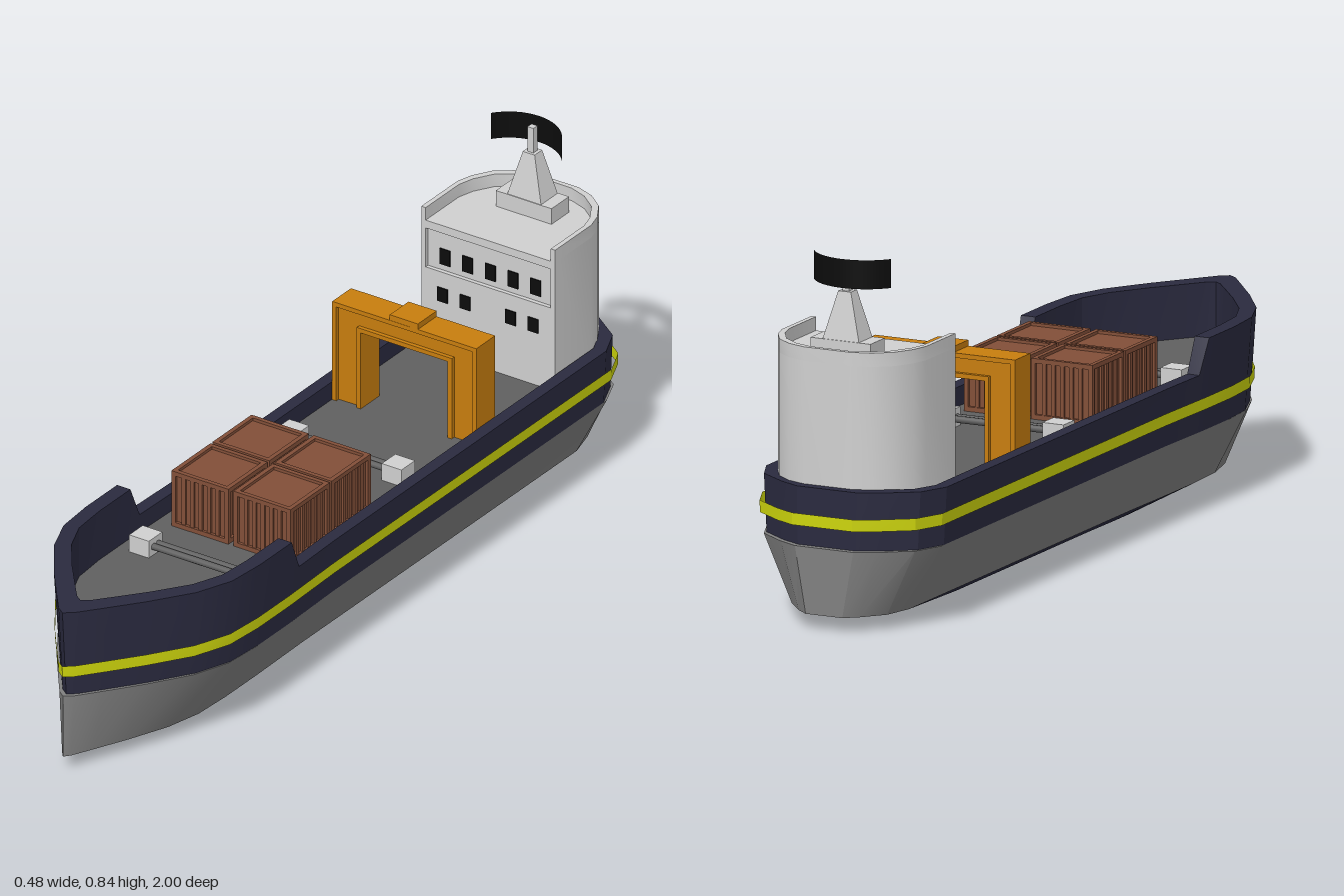
import * as THREE from 'three';
import { toCreasedNormals } from 'three/addons/utils/BufferGeometryUtils.js';

const mat = (name, color, opts = {}) => Object.assign(new THREE.MeshStandardMaterial({ color, ...opts }), { name });

export function createModel() {
  const navy = mat('navy paint', 0x2a2a3f);
  const hullGrey = mat('hull grey', 0x808080);
  const deckGrey = mat('deck grey', 0x606060);
  const yellow = mat('yellow stripe', 0xccd40c, { side: THREE.DoubleSide });
  const orange = mat('crane orange', 0xc77d0e);
  const brown = mat('container brown', 0x824f38);
  const white = mat('off white', 0xd0d0d0);
  const black = mat('black', 0x0c0c0c, { side: THREE.DoubleSide });

  const ship = new THREE.Group();
  ship.name = 'cargoShip';
  const add = (parent, name, geo, material, x = 0, y = 0, z = 0) => {
    const m = new THREE.Mesh(geo, material);
    m.name = name;
    m.position.set(x, y, z);
    parent.add(m);
    return m;
  };
  const group = (name) => {
    const g = new THREE.Group();
    g.name = name;
    ship.add(g);
    return g;
  };
  // box from its extents
  const box = (parent, name, material, x0, x1, y0, y1, z0, z1) =>
    add(parent, name, new THREE.BoxGeometry(x1 - x0, y1 - y0, z1 - z0), material,
      (x0 + x1) / 2, (y0 + y1) / 2, (z0 + z1) / 2);

  // skin closed rings of points; optional fan caps on first and last ring
  const loft = (rings, capStart, capEnd, crease = 0.3) => {
    const n = rings[0].length, pos = [], idx = [];
    rings.forEach((r) => r.forEach((p) => pos.push(...p)));
    for (let k = 0; k < rings.length - 1; k++) {
      for (let i = 0; i < n; i++) {
        const j = (i + 1) % n, a = k * n, b = a + n;
        idx.push(a + i, a + j, b + j, a + i, b + j, b + i);
      }
    }
    const cap = (k, flip) => {
      const c = pos.length / 3;
      pos.push(0, rings[k][0][1], 0);
      for (let i = 0; i < n; i++) {
        const a = k * n + i, b = k * n + ((i + 1) % n);
        idx.push(c, flip ? b : a, flip ? a : b);
      }
    };
    if (capStart) cap(0, true);
    if (capEnd) cap(rings.length - 1, false);
    const g = new THREE.BufferGeometry();
    g.setAttribute('position', new THREE.Float32BufferAttribute(pos, 3));
    g.setIndex(idx);
    return toCreasedNormals(g, crease);
  };

  // half plan of the hull as [z, x], bow to stern, mirrored into a loop
  const half = [[1, 0], [0.985, 0.02], [0.93, 0.062], [0.85, 0.122], [0.75, 0.188], [0.66, 0.222],
    [0.56, 0.23], [0.435, 0.23], [0.4, 0.229], [0.25, 0.225], [-0.83, 0.225], [-0.9, 0.195],
    [-0.95, 0.125], [-0.975, 0.075], [-0.975, 0]];
  const plan = [...half, ...half.slice(1, -1).reverse().map(([z, x]) => [z, -x])];
  const ring = (f) => plan.map(([z, x]) => f(z, x));
  const DECK = 0.28;
  const shell = (z, x, y) => [x * (1 + (y - 0.25) * 0.25), y, z > 0 ? z * (1 + (y - 0.405) * 0.07) : z];
  const topY = (z) => (z > 0.42 ? 0.405 : 0.325);
  const inset = (z, x, y) => [x * 0.88, y,
    z > 0.6 ? 0.6 + (z - 0.6) * 0.82 : z < -0.8 ? -0.8 + (z + 0.8) * 0.82 : z];
  const scaled = (kx, y, kz, ks = kz) => ring((z, x) => [x * kx, y, z * (z > 0 ? kz : ks)]);

  // hull: keel, grey lower sides, navy sides with bulwark, deck, stripe
  const hull = group('hull');
  const chine = scaled(0.62, 0.035, 0.998, 1.015);
  const waterline = scaled(0.985, 0.19, 0.998, 1.015);
  add(hull, 'keelBottom', loft([scaled(0.37, 0, 0.6), chine], true, false), navy);
  const sideFoot = ring((z, x) => shell(z, x, 0.19));
  add(hull, 'lowerHull', loft([chine, waterline, sideFoot]), hullGrey);
  add(hull, 'upperHull', loft([
    sideFoot,
    ring((z, x) => shell(z, x, 0.27)),
    ring((z, x) => shell(z, x, topY(z))),
    ring((z, x) => inset(z, x, topY(z))),
    ring((z, x) => inset(z, x, DECK)),
  ]), navy);
  add(hull, 'deck', loft([ring((z, x) => inset(z, x, DECK - 0.01)), ring((z, x) => inset(z, x, DECK))], false, true), deckGrey);
  add(hull, 'stripe', loft([scaled(1.012, 0.24, 1, 1.025), scaled(1.016, 0.268, 1.001, 1.025)]), yellow);

  // upright prism from an [x, z] outline
  const prism = (pts, y0, y1) => {
    const g = new THREE.ExtrudeGeometry(new THREE.Shape(pts.map(([x, z]) => new THREE.Vector2(x, -z))),
      { depth: y1 - y0, bevelEnabled: false });
    g.rotateX(-Math.PI / 2).translate(0, y0, 0);
    return toCreasedNormals(g, 0.7);
  };

  // bridge house with rounded back and a parapet open at the front
  const house = group('bridgeHouse');
  house.position.x = 0.012;
  const back = (d) => {
    const h = [[0.183, -0.82], [0.172, -0.86], [0.145, -0.905], [0.105, -0.935], [0.06, -0.95]]
      .map(([x, z]) => [x - d, z + d]);
    return [...h, ...h.slice().reverse().map(([x, z]) => [-x, z])];
  };
  add(house, 'houseBody', prism([[0.183, -0.686], ...back(0), [-0.183, -0.686]], DECK, 0.61), white);
  add(house, 'parapet', prism([[0.183, -0.676], ...back(0), [-0.183, -0.676],
    [-0.171, -0.676], ...back(0.012).reverse(), [0.171, -0.676]], 0.61, 0.642), white);
  // front wall with the sunken window panel
  const rect = (P, x0, x1, y0, y1) => new P()
    .moveTo(x0, y0).lineTo(x1, y0).lineTo(x1, y1).lineTo(x0, y1).closePath();
  const front = rect(THREE.Shape, -0.183, 0.183, DECK, 0.61);
  front.holes.push(rect(THREE.Path, -0.171, 0.171, 0.49, 0.59));
  add(house, 'frontWall', new THREE.ExtrudeGeometry(front, { depth: 0.01, bevelEnabled: false }), white, 0, 0, -0.686);
  for (let i = -2; i <= 2; i++) {
    const x = i * 0.062;
    box(house, 'upperWindow', black, x - 0.014, x + 0.014, 0.505, 0.545, -0.687, -0.683);
    if (i) box(house, 'lowerWindow', black, x - 0.014, x + 0.014, 0.415, 0.45, -0.677, -0.673);
  }

  // mast and curved radar screen
  const mast = group('mast');
  mast.position.set(0.01, 0, -0.855);
  box(mast, 'mastFoot', white, -0.076, 0.076, 0.61, 0.65, -0.035, 0.035);
  const taper = new THREE.BoxGeometry(0.092, 0.11, 0.066);
  const tp = taper.attributes.position;
  for (let i = 0; i < tp.count; i++) {
    if (tp.getY(i) > 0) tp.setXYZ(i, tp.getX(i) * 0.35, tp.getY(i), tp.getZ(i) * 0.45);
  }
  taper.computeVertexNormals();
  add(mast, 'mastTower', taper, white, 0, 0.705, 0);
  box(mast, 'mastPole', white, -0.008, 0.008, 0.76, 0.823, -0.008, 0.008);
  const arc = Math.asin(0.0975 / 0.12);
  add(mast, 'radarScreen', new THREE.CylinderGeometry(0.12, 0.12, 0.067, 16, 1, true, Math.PI - arc, 2 * arc),
    black, 0, 0.804, 0.094);

  // gantry crane: recessed arch between raised rims
  const crane = group('gantryCrane');
  const arch = (name, w, top, iw, itop, depth) => {
    const s = new THREE.Shape([[-w, DECK], [-iw, DECK], [-iw, itop], [iw, itop], [iw, DECK], [w, DECK], [w, top], [-w, top]]
      .map(([x, y]) => new THREE.Vector2(x, y)));
    const g = new THREE.ExtrudeGeometry(s, { depth, bevelEnabled: false });
    add(crane, name, g, orange, 0, 0, -0.397 - depth / 2);
  };
  arch('craneCore', 0.19, 0.525, 0.125, 0.48, 0.055);
  arch('craneOuterRim', 0.197, 0.532, 0.186, 0.521, 0.075);
  arch('craneInnerRim', 0.13, 0.486, 0.119, 0.475, 0.075);
  box(crane, 'craneTrolley', orange, -0.04, 0.037, 0.53, 0.546, -0.435, -0.36);

  // four ribbed containers
  const cargo = group('containers');
  for (const cx of [-0.082, 0.088]) {
    for (const cz of [0.093, 0.256]) {
      const c = new THREE.Group();
      c.name = 'container';
      c.position.set(cx, 0, cz);
      cargo.add(c);
      const r = 0.078, t = 0.011;
      box(c, 'containerBody', brown, -0.071, 0.071, DECK, 0.414, -0.071, 0.071);
      for (const s of [-1, 1]) {
        const a = s * (r - t / 2);
        for (const y of [DECK, 0.421 - t]) {
          box(c, 'containerRail', brown, -r, r, y, y + t, a - t / 2, a + t / 2);
          box(c, 'containerRail', brown, a - t / 2, a + t / 2, y, y + t, -r + t, r - t);
        }
        for (const q of [-1, 1]) {
          const b = q * (r - t / 2);
          box(c, 'cornerPost', brown, a - t / 2, a + t / 2, DECK + t, 0.41, b - t / 2, b + t / 2);
        }
        for (let i = -2; i <= 2; i++) {
          const u = i * 0.023, b = s * 0.072;
          box(c, 'containerRib', brown, u - 0.005, u + 0.005, DECK + t, 0.41, b - 0.004, b + 0.004);
          box(c, 'containerRib', brown, b - 0.004, b + 0.004, DECK + t, 0.41, u - 0.005, u + 0.005);
        }
      }
    }
  }

  // mooring winches: two end blocks joined by a pair of bars
  for (const [cx, cz] of [[-0.008, -0.137], [0.003, 0.462]]) {
    const w = group('winch');
    w.position.set(cx, 0, cz);
    for (const s of [-1, 1]) {
      box(w, 'winchBlock', white, s * 0.145 - 0.027, s * 0.145 + 0.027, DECK, 0.323, -0.027, 0.027);
      const bar = add(w, 'winchBar', new THREE.CylinderGeometry(0.008, 0.008, 0.25, 10), deckGrey, 0, 0.302, s * 0.009);
      bar.rotation.z = Math.PI / 2;
    }
  }
  return ship;
}
